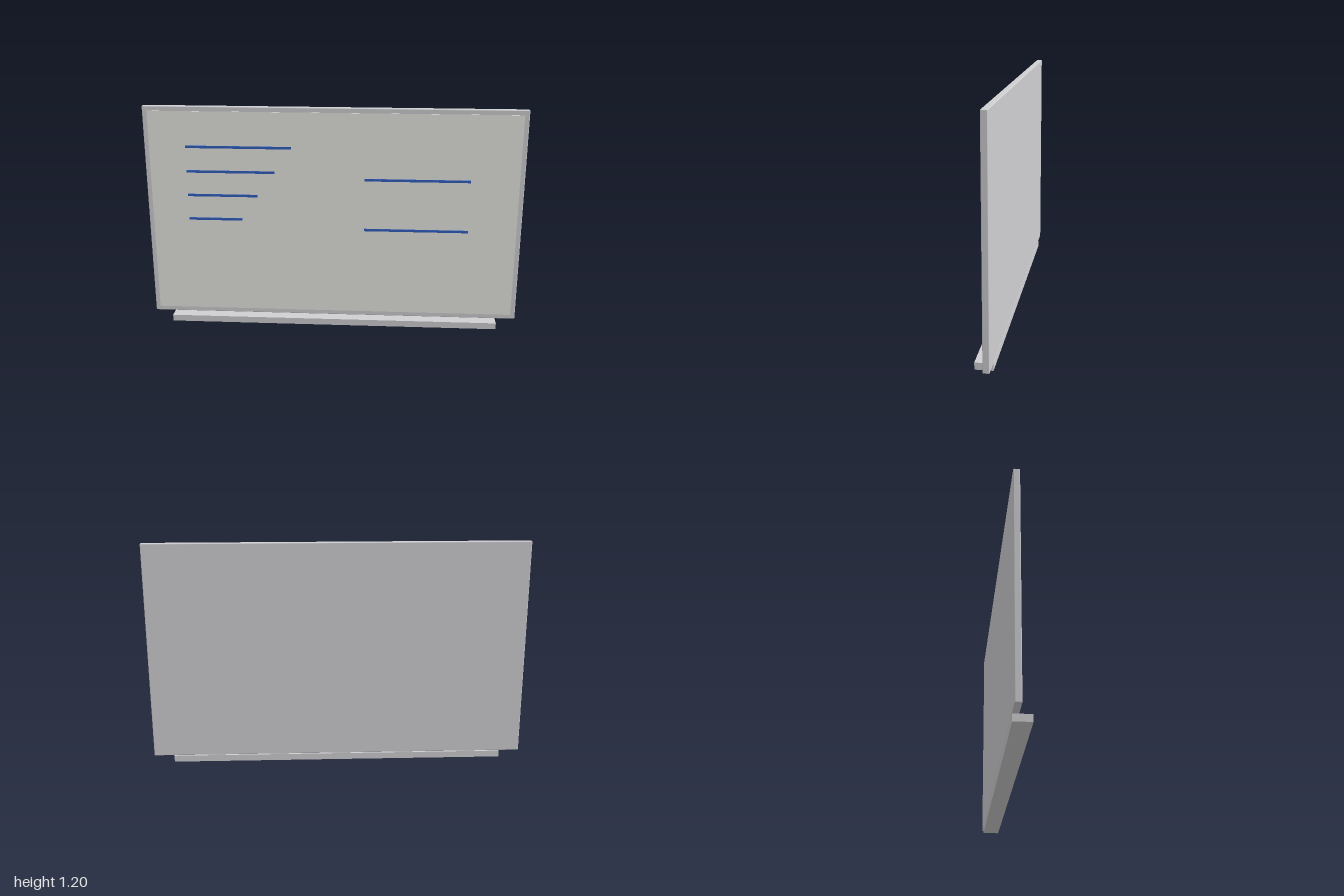
import * as THREE from 'three';
import { RoundedBoxGeometry } from 'three/addons/geometries/RoundedBoxGeometry.js';

const material = (name, color) => {
  const m = new THREE.MeshStandardMaterial({ color });
  m.name = name;
  return m;
};

export function createModel() {
  const group = new THREE.Group();
  group.name = 'whiteboard';
  const metal = material('light grey metal', 0xd0d0d3);
  const white = material('writing white', 0xeeeeea);
  const ink = material('blue ink', 0x2f5fc0);

  // Place a geometry by its centre
  const add = (name, geometry, mat, x, y, z) => {
    const mesh = new THREE.Mesh(geometry, mat);
    mesh.name = name;
    mesh.position.set(x, y, z);
    group.add(mesh);
  };

  // Backing board with softened edges, its rim showing as the frame
  add('frame', new RoundedBoxGeometry(2, 1.162, 0.032, 2, 0.004), metal, 0, 0.619, -0.028);

  // Writing surface, slightly proud of the frame
  add('writingSurface', new THREE.BoxGeometry(1.95, 1.112, 0.006), white, 0, 0.619, -0.0125);

  // Pen tray under the board
  add('penTray', new THREE.BoxGeometry(1.784, 0.035, 0.088), metal, 0, 0.0175, 0.0005);

  // Pen strokes: left end, right end, height
  const strokes = [
    [-0.78, -0.22, 0.986], [-0.78, -0.31, 0.852], [-0.78, -0.405, 0.721], [-0.78, -0.49, 0.588],
    [0.165, 0.72, 0.82], [0.165, 0.72, 0.542],
  ];
  strokes.forEach(([x0, x1, y], i) => {
    add(`penStroke${i + 1}`, new THREE.BoxGeometry(x1 - x0, 0.013, 0.006), ink, (x0 + x1) / 2, y, -0.0085);
  });

  return group;
}
